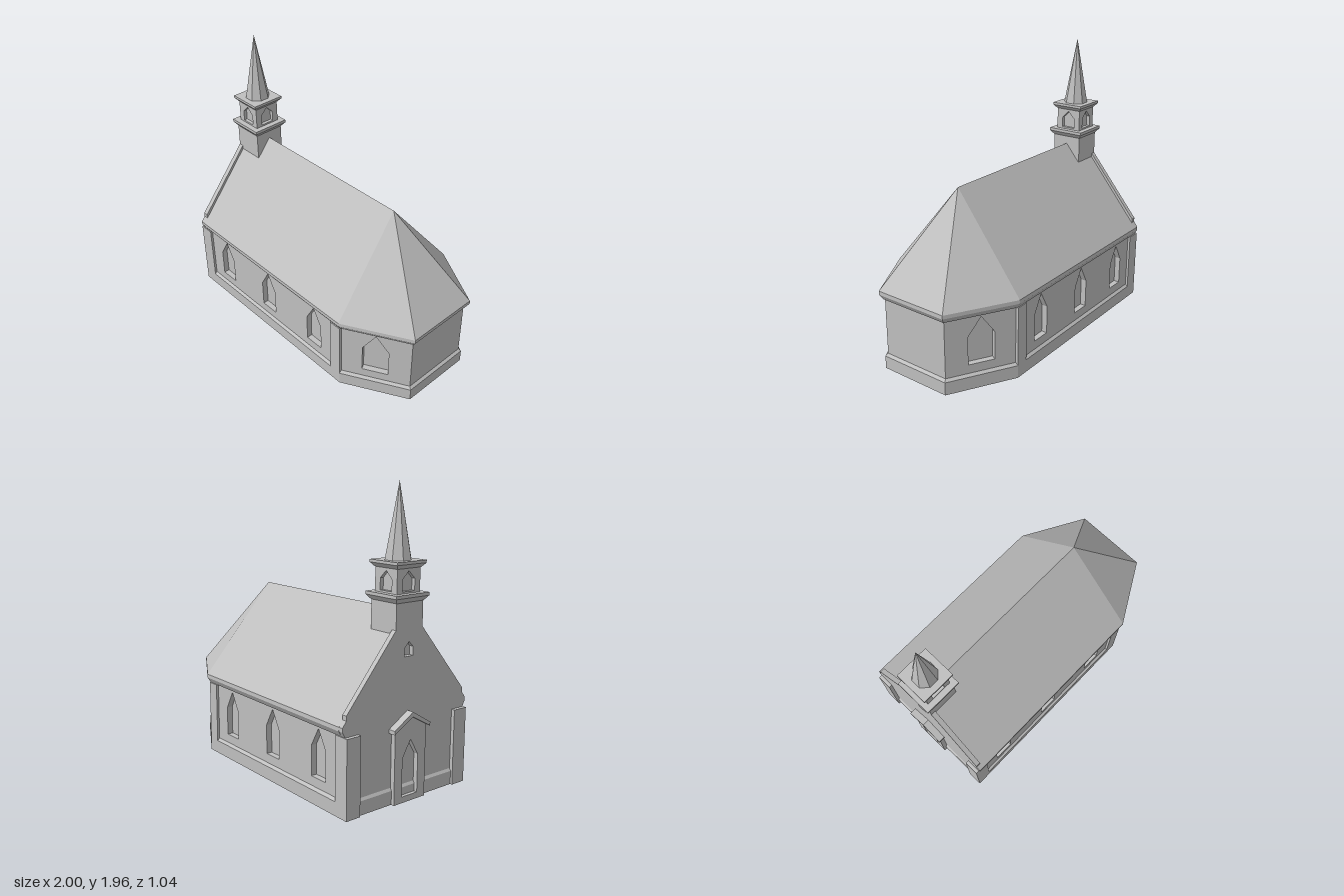
import * as THREE from 'three';
import { ConvexGeometry } from 'three/addons/geometries/ConvexGeometry.js';

const WEST = -0.95;

export function createModel() {
  const group = new THREE.Group();
  const stone = new THREE.MeshStandardMaterial({ color: 0xbfbfbf });
  stone.name = 'grey stone';

  const add = (name, geometry) => {
    const mesh = new THREE.Mesh(geometry, stone);
    mesh.name = name;
    group.add(mesh);
    return mesh;
  };
  const solid = (name, points) => add(name, new ConvexGeometry(points));
  const box = (name, x0, x1, y0, y1, z0, z1) => {
    const g = new THREE.BoxGeometry(x1 - x0, y1 - y0, z1 - z0);
    g.translate((x0 + x1) / 2, (y0 + y1) / 2, (z0 + z1) / 2);
    return add(name, g);
  };

  // Plan of the church: straight nave and three-sided apse, walls pushed out by d
  const plan = (d, y, west = WEST) => {
    const half = [[west, 0.485 + d], [0.545 + 0.26 * d, 0.485 + d], [0.965 + d, 0.25 + 0.586 * d]];
    return half.flatMap(([x, z]) => [new THREE.Vector3(x, y, z), new THREE.Vector3(x, y, -z)]);
  };
  const toPoints = (list) => list.map(([x, y]) => new THREE.Vector2(x, y));
  // Pointed opening: centre, width, sill, spring line, apex
  const pointed = (c, w, y0, y1, y2) =>
    [[c - w / 2, y0], [c + w / 2, y0], [c + w / 2, y1], [c, y2], [c - w / 2, y1]];
  const rect = (w, y0, y1) => [[0, y0], [w, y0], [w, y1], [0, y1]];

  // Upright slab whose outer face runs from plan point a to b (left to right from outside)
  const slab = (name, a, b, outline, holes, depth) => {
    const shape = new THREE.Shape(toPoints(outline));
    for (const h of holes) shape.holes.push(new THREE.Path(toPoints(h)));
    const g = new THREE.ExtrudeGeometry(shape, { depth, bevelEnabled: false });
    g.translate(0, 0, -depth);
    g.rotateY(Math.atan2(-(b[1] - a[1]), b[0] - a[0]));
    g.translate(a[0], 0, a[1]);
    return add(name, g);
  };

  // Plinth with a small weathered top, and the core behind the window recesses
  solid('plinth', [...plan(0.017, 0, -0.96), ...plan(0.017, 0.09, -0.96), ...plan(0, 0.107)]);
  solid('wallCore', [...plan(-0.04, 0.02, -0.91), ...plan(-0.04, 0.505, -0.91)]);

  // Nave walls
  const naveWindows = [0.26, 0.74, 1.225];
  const naveLength = 0.545 - WEST;
  const window = (c, w) => pointed(c, w, 0.168, 0.365, 0.49);
  slab('frontNaveWall', [WEST, 0.485], [0.545, 0.485], rect(naveLength, 0.02, 0.507),
    naveWindows.map((c) => window(c, 0.14)), 0.045);
  slab('backNaveWall', [0.545, -0.485], [WEST, -0.485], rect(naveLength, 0.02, 0.507),
    naveWindows.map((c) => window(naveLength - c, 0.14)), 0.045);

  // Apse walls
  const side = Math.hypot(0.42, 0.235);
  slab('frontApseWall', [0.545, 0.485], [0.965, 0.25], rect(side, 0.02, 0.507), [window(0.238, 0.18)], 0.045);
  slab('backApseWall', [0.965, -0.25], [0.545, -0.485], rect(side, 0.02, 0.507), [window(side - 0.238, 0.18)], 0.045);
  slab('eastWall', [0.965, 0.25], [0.965, -0.25], rect(0.5, 0.02, 0.507), [], 0.045);
  slab('westWall', [WEST, -0.485], [WEST, 0.485], rect(0.97, 0.02, 0.507), [], 0.045);

  // Corner piers
  for (const s of [1, -1]) {
    const z = [0.395 * s, 0.502 * s].sort((p, q) => p - q);
    box('westPier', -0.975, -0.87, 0, 0.505, z[0], z[1]);
    box('eastPier', 0.46, 0.549, 0, 0.505, z[0], z[1]);
  }

  // Roof with flared eaves, hipped over the apse
  const ROOF_WEST = -0.92;
  solid('roof', [
    ...plan(0.01, 0.505, ROOF_WEST), ...plan(0.033, 0.542, ROOF_WEST), ...plan(0.032, 0.567, ROOF_WEST),
    new THREE.Vector3(ROOF_WEST, 1.19, 0), new THREE.Vector3(0.52, 1.19, 0),
  ]);

  // West gable, standing a little above the roof as a coping
  const gableHalf = [[0.495, 0.505], [0.516, 0.542], [0.516, 0.567], [0.487, 0.605], [0.487, 0.635], [0.11, 1.085]];
  const gable = [...gableHalf, ...gableHalf.map(([x, y]) => [-x, y]).reverse()];
  slab('westGable', [WEST, 0], [WEST, 1], gable, [pointed(0, 0.07, 0.915, 0.97, 1.005)], 0.035);

  // West porch with its door recess and little pitched roof
  slab('porch', [-0.983, 0], [-0.983, 1],
    [[-0.13, 0], [0.13, 0], [0.13, 0.475], [0, 0.55], [-0.13, 0.475]],
    [pointed(0, 0.13, 0.04, 0.29, 0.4)], 0.034);
  slab('porchRoof', [-1, 0], [-1, 1],
    [[-0.15, 0.46], [0, 0.545], [0.15, 0.46], [0.15, 0.485], [0, 0.577], [-0.15, 0.485]], [], 0.05);

  // Tower
  const tx = -0.84;
  const square = (r, y) => [[1, 1], [1, -1], [-1, 1], [-1, -1]].map(([x, z]) => new THREE.Vector3(tx + x * r, y, z * r));
  const cornice = (name, r0, r1, y0, y1) =>
    solid(name, [...square(r0, y0), ...square(r1, y0 + 0.6 * (y1 - y0)), ...square(r1, y1)]);
  box('towerBase', tx - 0.11, tx + 0.11, 1.06, 1.25, -0.11, 0.11);
  cornice('lowerCornice', 0.112, 0.135, 1.245, 1.295);
  box('belfryCore', tx - 0.07, tx + 0.07, 1.29, 1.45, -0.07, 0.07);
  const r = 0.095;
  const corners = [[-r, r], [r, r], [r, -r], [-r, -r]].map(([x, z]) => [tx + x, z]);
  corners.forEach((c, i) => slab('belfryWall', c, corners[(i + 1) % 4], rect(2 * r, 1.29, 1.45),
    [pointed(r, 0.1, 1.307, 1.38, 1.43)], 0.03));
  cornice('upperCornice', 0.098, 0.12, 1.445, 1.488);

  // Octagonal spire
  const spire = new THREE.ConeGeometry(0.0855, 0.467, 8).toNonIndexed();
  spire.computeVertexNormals();
  spire.rotateY(Math.PI / 8);
  spire.translate(tx, 1.488 + 0.2335, 0);
  add('spire', spire);

  return group;
}
